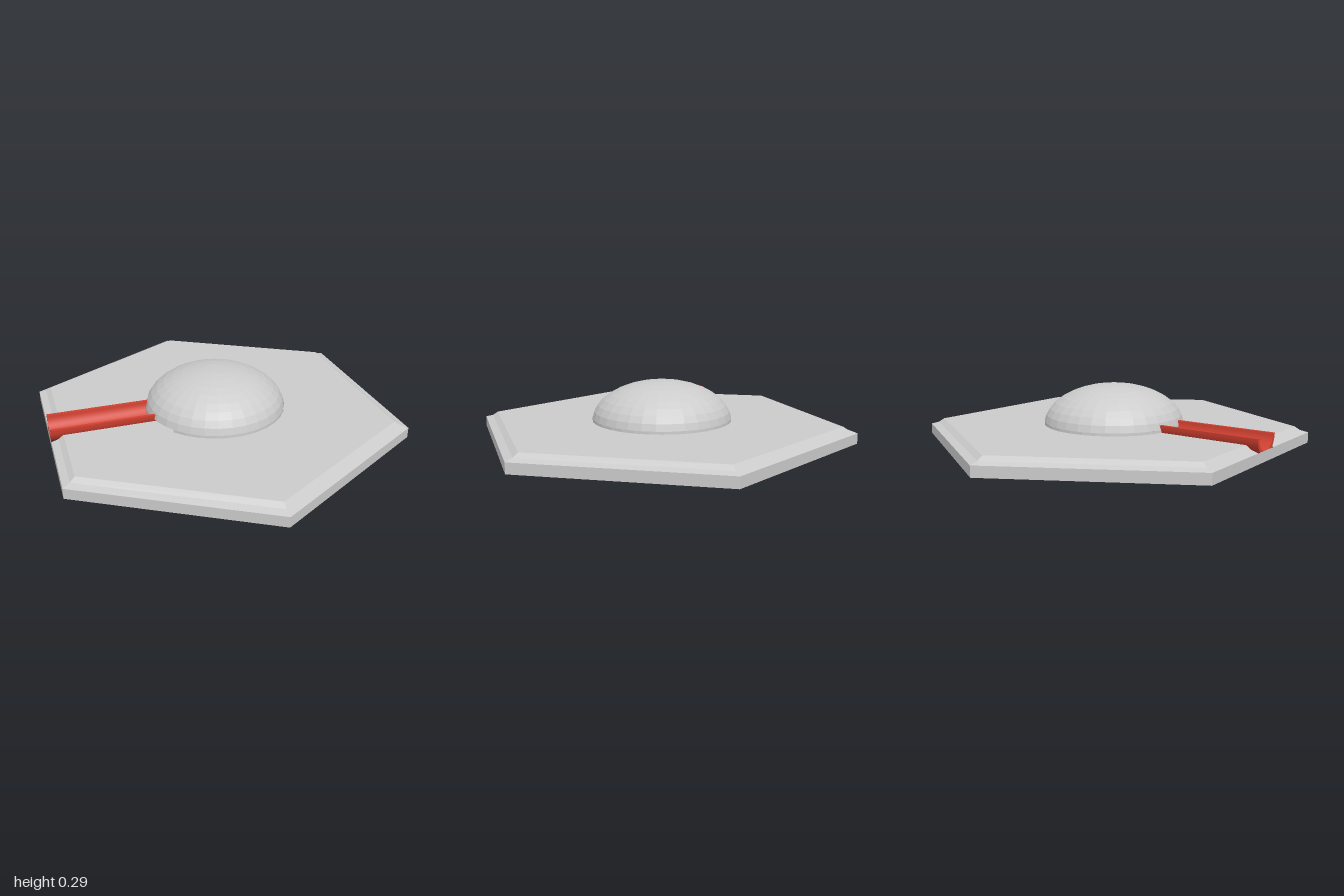
import * as THREE from 'three';
import { toCreasedNormals } from 'three/addons/utils/BufferGeometryUtils.js';

const SLOT_EDGE = 2;      // hexagon side crossed by the channel
const SLOT_HALF = 0.08;   // half width of the slot in the plate
const TAN30 = Math.tan(Math.PI / 6);

// Point at distance a along the normal of side k, shifted s along that side
function sidePoint(k, a, s, y) {
  const t = (k * Math.PI) / 3;
  return [Math.cos(t) * a - Math.sin(t) * s, y, Math.sin(t) * a + Math.cos(t) * s];
}

export function createModel() {
  const group = new THREE.Group();
  const grey = new THREE.MeshStandardMaterial({ color: 0xcccccc, flatShading: true, side: THREE.DoubleSide });
  const red = new THREE.MeshStandardMaterial({ color: 0xd04030, side: THREE.DoubleSide });
  const add = (name, geometry, material) => {
    const mesh = new THREE.Mesh(geometry, material);
    mesh.name = name;
    group.add(mesh);
    return mesh;
  };

  // Hollow rim: upright wall and a concave bevel, [apothem, height]
  const profile = [[0.866, 0], [0.866, 0.053], [0.83, 0.064], [0.805, 0.083]];
  const positions = [];
  for (let k = 0; k < 6; k++) {
    for (let i = 0; i < profile.length - 1; i++) {
      const [a0, y0] = profile[i];
      const [a1, y1] = profile[i + 1];
      const e0 = a0 * TAN30, e1 = a1 * TAN30;
      // The bevel is split where the channel passes through
      const spans = k === SLOT_EDGE && i > 0
        ? [[-e0, -SLOT_HALF, -e1, -SLOT_HALF], [SLOT_HALF, e0, SLOT_HALF, e1]]
        : [[-e0, e0, -e1, e1]];
      for (const [l0, l1, h0, h1] of spans) {
        const A = sidePoint(k, a0, l1, y0), B = sidePoint(k, a0, l0, y0);
        const C = sidePoint(k, a1, h0, y1), D = sidePoint(k, a1, h1, y1);
        positions.push(...A, ...B, ...C, ...A, ...C, ...D);
      }
    }
  }
  const rim = new THREE.BufferGeometry();
  rim.setAttribute('position', new THREE.Float32BufferAttribute(positions, 3));
  rim.computeVertexNormals();
  add('baseRim', rim, grey);

  // Top plate, with a slot running from the centre to one side
  const [topA, topY] = profile[3];
  const outline = [];
  for (let k = 0; k < 6; k++) {
    outline.push(sidePoint(k, topA, -topA * TAN30, 0));
    if (k === SLOT_EDGE) {
      for (const [a, s] of [[topA, -1], [0.04, -1], [0.04, 1], [topA, 1]]) {
        outline.push(sidePoint(k, a, s * SLOT_HALF, 0));
      }
    }
  }
  const plate = new THREE.ShapeGeometry(new THREE.Shape(outline.map(([x, , z]) => new THREE.Vector2(x, -z))));
  plate.rotateX(-Math.PI / 2);
  plate.translate(0, topY, 0);
  add('topPlate', plate, grey);

  // Flattened dome
  const R = 0.365, domeY = 0.08, domeH = 0.21, bandTop = 0.097;
  const domePoints = [];
  const start = Math.asin((bandTop - domeY) / domeH);
  for (let i = 0; i <= 9; i++) {
    const t = start + ((Math.PI / 2 - start) * i) / 9;
    domePoints.push(new THREE.Vector2(Math.max(R * Math.cos(t), 0), domeY + domeH * Math.sin(t)));
  }
  add('dome', new THREE.LatheGeometry(domePoints, 32), grey);

  // Dome foot, dipping below the plate and left open beside the channel
  const gapStart = -0.34, gapEnd = 0.14;
  const foot = new THREE.CylinderGeometry(R * Math.cos(start), R, 0.035, 30, 1, true,
    gapEnd, Math.PI * 2 - (gapEnd - gapStart));
  foot.translate(0, bandTop - 0.0175, 0);
  add('domeFoot', foot, grey);

  // Half-round channel leading from the centre to the rim
  const section = new THREE.Shape();
  section.absarc(0, 0, 0.09, Math.PI, Math.PI * 2, false);
  section.absarc(0, 0, 0.073, Math.PI * 2, Math.PI, true);
  section.closePath();
  const trough = new THREE.ExtrudeGeometry(section, { depth: 0.825, bevelEnabled: false, curveSegments: 12 });
  const channel = add('channel', toCreasedNormals(trough, 0.6), red);
  trough.dispose();
  channel.geometry.translate(0, 0, 0.04);
  channel.position.y = 0.12;
  channel.rotation.y = -Math.PI / 6;

  return group;
}
